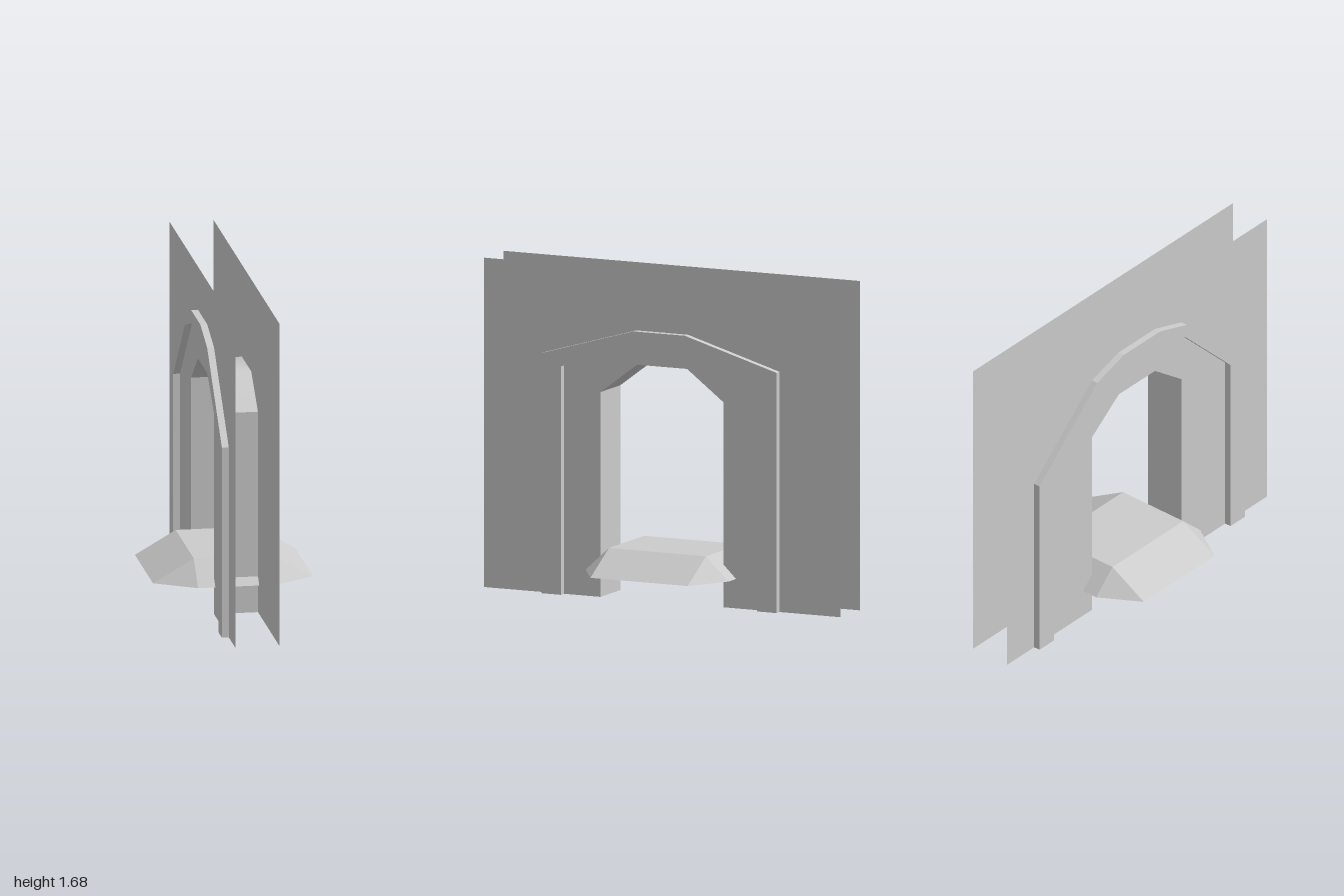
import * as THREE from 'three';

const material = new THREE.MeshStandardMaterial({ color: 0xcccccc, side: THREE.DoubleSide });
const WALL_X = 0.112;
const HEIGHT = 1.68;

// Right half profiles as [z, y], from the ground up to the crown
const opening = [[0.345, 0], [0.345, 1.045], [0.14, 1.2]];
const leftTrim = {
  outer: [[0.66, 0], [0.66, 1.225], [0.145, 1.375]],
  inner: [[0.55, 0], [0.55, 1.165], [0.145, 1.315]],
};
const rightTrim = {
  outer: [[0.79, 0], [0.79, 0.99], [0.345, 1.39], [0.14, 1.455]],
  inner: [[0.68, 0], [0.68, 0.975], [0.33, 1.325], [0.14, 1.385]],
};

// Mirror a half profile into a full arch running from +z to -z
const arch = (half) => [...half, ...half.map(([z, y]) => [-z, y]).reverse()];

// Closed band between two arches
const bandShape = (outer, inner) => new THREE.Shape(
  [...arch(outer), ...arch(inner).reverse()].map(([z, y]) => new THREE.Vector2(z, y)));

function named(name, geometry) {
  const mesh = new THREE.Mesh(geometry, material);
  mesh.name = name;
  return mesh;
}

// Thin wall sheet with the doorway cut out
function wall(name, side) {
  const geometry = new THREE.ShapeGeometry(bandShape([[1, 0], [1, HEIGHT]], opening));
  geometry.rotateY(side * Math.PI / 2).translate(side * WALL_X, 0, 0);
  return named(name, geometry);
}

// Raised trim on the outside of a wall
function trim(name, side, { outer, inner }) {
  const geometry = new THREE.ExtrudeGeometry(bandShape(outer, inner), { depth: 0.035, bevelEnabled: false });
  geometry.rotateY(side * Math.PI / 2).translate(side * WALL_X, 0, 0);
  return named(name, geometry);
}

// Strip spanning both walls along a [z, y] path, smooth along its length
function strip(name, path) {
  const positions = path.flatMap(([z, y]) => [-WALL_X, y, z, WALL_X, y, z]);
  const index = [];
  for (let i = 0; i < path.length - 1; i++) {
    const a = i * 2;
    index.push(a, a + 2, a + 1, a + 1, a + 2, a + 3);
  }
  const geometry = new THREE.BufferGeometry();
  geometry.setAttribute('position', new THREE.Float32BufferAttribute(positions, 3));
  geometry.setIndex(index);
  geometry.computeVertexNormals();
  return named(name, geometry);
}

// Threshold: flat top with slopes on four sides and cut corners, open below
function threshold() {
  const top = 0.27, low = 0.15;
  const corners = [[1, 1], [1, -1], [-1, -1], [-1, 1]].map(([sx, sz]) => {
    const zIn = sz > 0 ? 0.255 : -0.29, zOut = sz > 0 ? 0.385 : -0.415;
    const onEnd = [sx * 0.2, low, zOut], onSide = [sx * 0.408, low, zIn];
    return {
      t: [sx * 0.2, top, zIn],
      a: sx === sz ? onEnd : onSide,
      b: sx === sz ? onSide : onEnd,
    };
  });
  const [c0, c1, c2, c3] = corners;
  const triangles = [c0.t, c1.t, c2.t, c0.t, c2.t, c3.t];
  corners.forEach((c, i) => {
    const n = corners[(i + 1) % 4];
    triangles.push(c.t, c.a, c.b, c.t, c.b, n.a, c.t, n.a, n.t);
  });
  const geometry = new THREE.BufferGeometry();
  geometry.setAttribute('position', new THREE.Float32BufferAttribute(triangles.flat(), 3));
  geometry.computeVertexNormals();
  return named('threshold', geometry);
}

export function createModel() {
  const group = new THREE.Group();
  group.name = 'archedDoorway';
  group.add(
    wall('leftWall', 1),
    wall('rightWall', -1),
    trim('leftTrim', 1, leftTrim),
    trim('rightTrim', -1, rightTrim),
  );

  // Doorway lining: two jambs and the arched soffit
  const path = arch(opening);
  group.add(
    strip('frontJamb', path.slice(0, 2)),
    strip('archSoffit', path.slice(1, 5)),
    strip('backJamb', path.slice(4)),
    threshold(),
  );
  return group;
}
